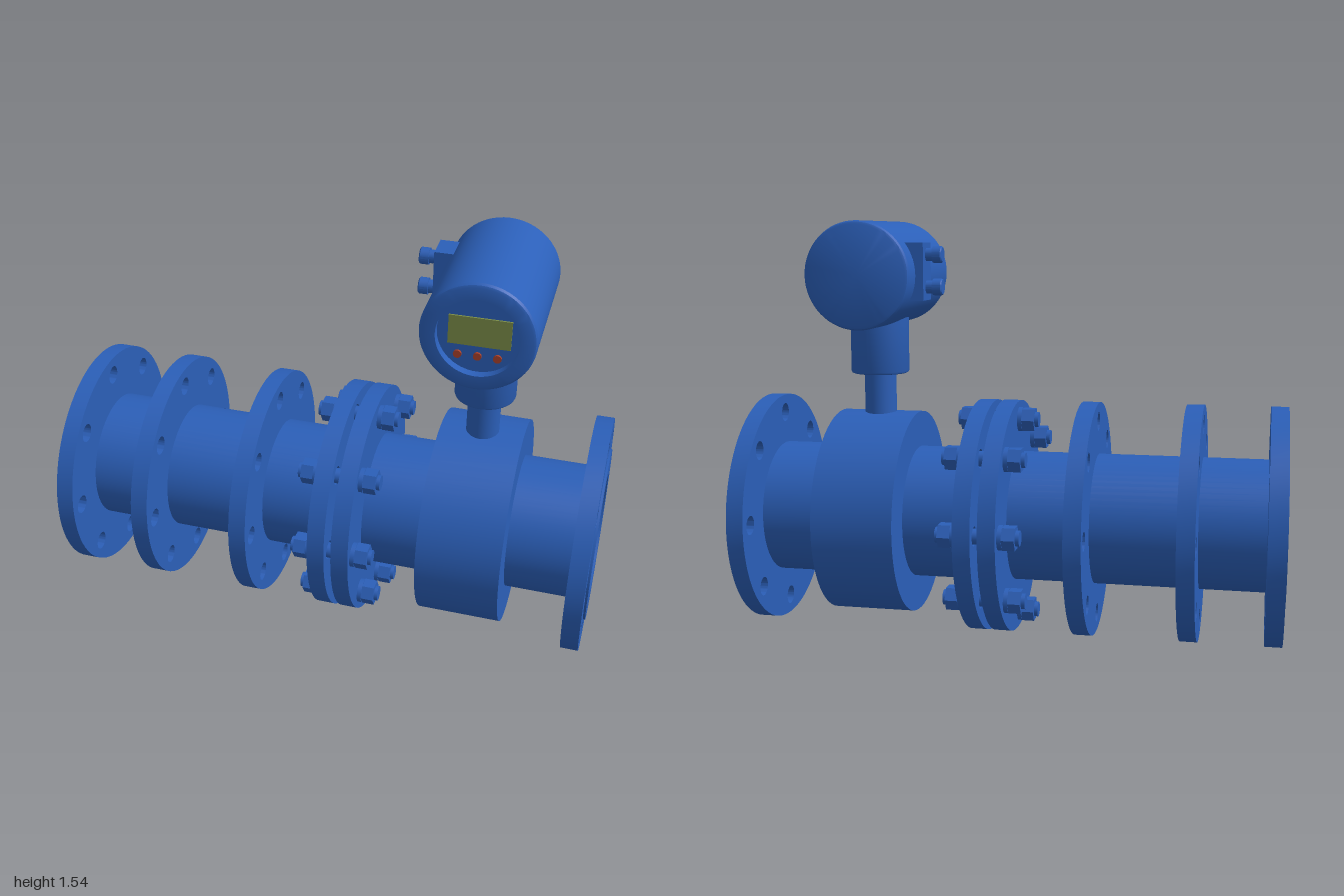
import * as THREE from 'three';
import { toCreasedNormals } from 'three/addons/utils/BufferGeometryUtils.js';

const AXIS_Y = 0.44;      // pipe centre line
const BORE = 0.225;
const BOLT_CIRCLE = 0.368;
const BOLTS = 8;

const blue = new THREE.MeshStandardMaterial({ color: 0x2b5fb8 });
const olive = new THREE.MeshStandardMaterial({ color: 0x7a8c48 });
const red = new THREE.MeshStandardMaterial({ color: 0xa8402c });

function add(parent, name, geometry, x = 0, y = 0, z = 0, material = blue) {
  const mesh = new THREE.Mesh(geometry, material);
  mesh.name = name;
  mesh.position.set(x, y, z);
  parent.add(mesh);
  return mesh;
}

// Solid of revolution from [along, radius] pairs, with sharp edges kept
function turned(profile, segments = 64) {
  const points = profile.map(([a, r]) => new THREE.Vector2(r, a));
  return toCreasedNormals(new THREE.LatheGeometry(points, segments), 0.5);
}
const turnedX = (profile, segments) => turned(profile, segments).rotateZ(-Math.PI / 2);
const turnedZ = (profile, segments) => turned(profile, segments).rotateX(Math.PI / 2);

// Cylinder along x between two positions
function rodX(x0, x1, radius, sides = 24) {
  return new THREE.CylinderGeometry(radius, radius, x1 - x0, sides)
    .rotateZ(-Math.PI / 2).translate((x0 + x1) / 2, 0, 0);
}

// Flat ring with a circle of bolt holes, starting at x = 0
function flangeGeometry(thickness) {
  const shape = new THREE.Shape().absarc(0, 0, 0.437, 0, Math.PI * 2);
  shape.holes.push(new THREE.Path().absarc(0, 0, 0.235, 0, Math.PI * 2, true));
  for (let i = 0; i < BOLTS; i++) {
    const a = (i / BOLTS) * Math.PI * 2;
    shape.holes.push(new THREE.Path().absarc(
      Math.cos(a) * BOLT_CIRCLE, Math.sin(a) * BOLT_CIRCLE, 0.035, 0, Math.PI * 2, true));
  }
  const geometry = new THREE.ExtrudeGeometry(shape, { depth: thickness, bevelEnabled: false, curveSegments: 40 });
  return toCreasedNormals(geometry, 0.5).rotateY(Math.PI / 2);
}

function makePiping() {
  const piping = new THREE.Group();
  piping.name = 'piping';
  piping.position.y = AXIS_Y;

  // Left pipe with a grooved sealing face at its open end
  const grooves = [];
  for (const r of [0.245, 0.263, 0.281, 0.299]) {
    grooves.push([-1, r], [-0.99, r], [-0.99, r + 0.008], [-1, r + 0.008]);
  }
  add(piping, 'leftPipe', turnedX([
    [-1, BORE], ...grooves, [-1, 0.32], [-0.98, 0.32], [-0.98, 0.243],
    [0.03, 0.243], [0.03, 0.32], [0.072, 0.32], [0.072, BORE], [-1, BORE],
  ]));

  // Meter tube with the wide coil body
  add(piping, 'meterTube', turnedX([
    [0.074, BORE], [0.074, 0.32], [0.12, 0.32], [0.12, 0.25],
    [0.385, 0.25], [0.385, 0.385], [0.69, 0.385], [0.69, 0.25],
    [0.95, 0.25], [0.95, 0.32], [1, 0.32], [1, BORE], [0.074, BORE],
  ]));

  // Six flanges
  const flange = flangeGeometry(0.064);
  for (const x of [-0.995, -0.692, -0.305, -0.004, 0.086, 0.928]) {
    add(piping, 'flange', flange, x);
  }

  // Stud bolts through the middle flange pair
  const parts = {
    stud: rodX(-0.08, 0.225, 0.028),
    leftWasher: rodX(-0.02, -0.004, 0.045),
    leftNut: rodX(-0.066, -0.02, 0.047, 6),
    rightWasher: rodX(0.15, 0.166, 0.045),
    rightNut: rodX(0.166, 0.212, 0.047, 6),
  };
  for (const key of ['leftNut', 'rightNut']) parts[key] = toCreasedNormals(parts[key], 0.5);
  for (let i = 0; i < BOLTS; i++) {
    const a = (i / BOLTS) * Math.PI * 2;
    const bolt = new THREE.Group();
    bolt.name = 'bolt';
    bolt.position.set(0, Math.cos(a) * BOLT_CIRCLE, Math.sin(a) * BOLT_CIRCLE);
    for (const [name, geometry] of Object.entries(parts)) add(bolt, name, geometry);
    piping.add(bolt);
  }
  return piping;
}

function makeTransmitter() {
  const transmitter = new THREE.Group();
  transmitter.name = 'transmitter';
  transmitter.position.set(0.537, 1.348, 0);

  // Round housing with a recessed display window at the front
  add(transmitter, 'housing', turnedZ([
    [-0.275, 0], [-0.275, 0.183], [-0.271, 0.191], [-0.262, 0.196],
    [0.262, 0.196], [0.271, 0.191], [0.275, 0.183],
    [0.275, 0.14], [0.243, 0.14], [0.243, 0],
  ]));
  add(transmitter, 'display', new THREE.BoxGeometry(0.21, 0.104, 0.008), 0.003, 0.01, 0.245, olive);
  const buttonGeometry = new THREE.CylinderGeometry(0.014, 0.014, 0.012, 20).rotateX(Math.PI / 2);
  for (const x of [-0.067, 0, 0.067]) {
    add(transmitter, 'button', buttonGeometry, x, -0.08, 0.245, red);
  }

  // Neck and collar down to the coil body
  add(transmitter, 'collar', turned([
    [-0.375, 0], [-0.375, 0.1], [-0.372, 0.107], [-0.365, 0.11], [-0.13, 0.11], [-0.13, 0],
  ], 48));
  add(transmitter, 'neck', new THREE.CylinderGeometry(0.06, 0.06, 0.2, 40), 0, -0.455, 0);

  // Cable entry block with two glands
  add(transmitter, 'cableBlock', new THREE.BoxGeometry(0.08, 0.208, 0.105), -0.185, 0.013, -0.133);
  const gland = turnedX([
    [-0.285, 0], [-0.285, 0.026], [-0.281, 0.03], [-0.25, 0.03], [-0.25, 0.024], [-0.22, 0.024], [-0.22, 0],
  ], 24);
  for (const y of [-0.043, 0.074]) add(transmitter, 'cableGland', gland, 0, y, -0.133);
  return transmitter;
}

export function createModel() {
  const model = new THREE.Group();
  model.name = 'flowMeter';
  model.add(makePiping(), makeTransmitter());
  return model;
}
